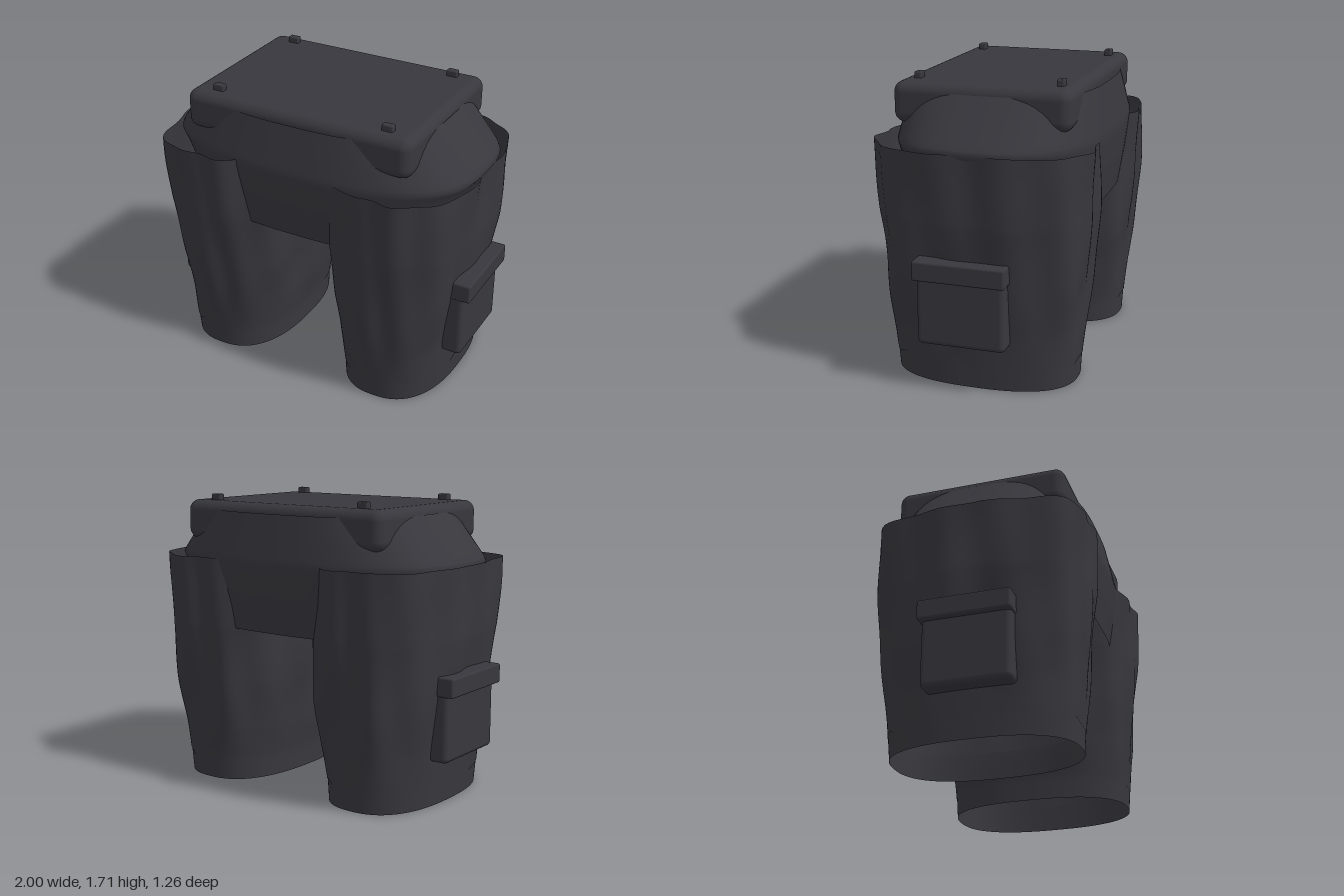
import * as THREE from 'three';
import { RoundedBoxGeometry } from 'three/addons/geometries/RoundedBoxGeometry.js';

// Linear interpolation in a table of rows [y, v1, v2, ...] sorted by y
function sample(rows, y) {
  let i = 0;
  while (i < rows.length - 2 && y > rows[i + 1][0]) i++;
  const a = rows[i], b = rows[i + 1];
  const t = THREE.MathUtils.clamp((y - a[0]) / (b[0] - a[0]), 0, 1);
  return a.map((v, k) => THREE.MathUtils.lerp(v, b[k], t));
}

// Open tube: point(angle, v) gives a position, v runs from 0 (bottom) to 1 (top)
function tube(segments, rings, point) {
  const positions = [], index = [];
  for (let r = 0; r <= rings; r++) {
    for (let i = 0; i < segments; i++) positions.push(...point((i / segments) * Math.PI * 2, r / rings));
  }
  for (let r = 0; r < rings; r++) {
    for (let i = 0; i < segments; i++) {
      const j = (i + 1) % segments;
      const a = r * segments + i, b = r * segments + j, c = a + segments, d = b + segments;
      index.push(a, c, b, b, c, d);
    }
  }
  const geometry = new THREE.BufferGeometry();
  geometry.setAttribute('position', new THREE.Float32BufferAttribute(positions, 3));
  geometry.setIndex(index);
  geometry.computeVertexNormals();
  return geometry;
}

// Unit rounded-square outline
function outline(angle, n) {
  const c = Math.cos(angle), s = Math.sin(angle);
  const k = Math.pow(Math.abs(c) ** n + Math.abs(s) ** n, -1 / n);
  return [c * k, s * k];
}

// y, inner x, outer x, half depth, squareness
const LEG = [
  [0, 0.21, 0.85, 0.53, 2.5],
  [0.14, 0.205, 0.86, 0.54, 2.6],
  [0.32, 0.18, 0.87, 0.555, 2.7],
  [0.6, 0.155, 0.9, 0.58, 2.8],
  [0.95, 0.135, 0.935, 0.605, 2.9],
  [1.35, 0.15, 0.945, 0.615, 3],
];

// y, half width, half depth, squareness
const HIPS = [
  [0.945, 0.8, 0.545, 2.7],
  [1.15, 0.85, 0.575, 2.7],
  [1.3, 0.91, 0.588, 2.8],
  [1.35, 0.945, 0.59, 2.8],
  [1.62, 0.705, 0.54, 3],
];

// Slanted cloth folds, fading towards the hem
function folds(angle, y) {
  const fade = THREE.MathUtils.smoothstep(y, 0.1, 0.6);
  return fade * (0.011 * Math.sin(7 * angle + 3.2 * y + 0.6)
    + 0.008 * Math.sin(12 * angle - 2.4 * y + 1.9)
    + 0.005 * Math.sin(4 * angle + 9 * y));
}

function legPoint(side, angle, y, inset, wrinkled) {
  const [, inner, outer, depth, n] = sample(LEG, y);
  const [ox, oz] = outline(angle, n);
  const f = (wrinkled ? folds(angle, y) : 0) - inset;
  return [side * (inner + outer) / 2 + ox * ((outer - inner) / 2 + f), y, oz * (depth + f)];
}

export function createModel() {
  const model = new THREE.Group();
  const cloth = new THREE.MeshStandardMaterial({ color: 0x37373d, side: THREE.DoubleSide });
  cloth.name = 'charcoal';

  function add(parent, name, geometry, x = 0, y = 0, z = 0) {
    const mesh = new THREE.Mesh(geometry, cloth);
    mesh.name = name;
    mesh.position.set(x, y, z);
    parent.add(mesh);
    return mesh;
  }

  // Hips: open shell tapering up to the waist
  add(model, 'hips', tube(96, 27, (angle, v) => {
    const y = 0.945 + v * 0.675;
    const [, w, d, n] = sample(HIPS, y);
    const [ox, oz] = outline(angle, n);
    return [ox * w, y, oz * d - 0.015];
  }));

  // Waist block with four small pegs
  add(model, 'waistBlock', new RoundedBoxGeometry(1.4, 0.23, 1.01, 5, 0.06), 0, 1.555, -0.005);
  for (const x of [-0.53, 0.53]) {
    for (const z of [-0.415, 0.4]) {
      add(model, 'peg', new RoundedBoxGeometry(0.066, 0.07, 0.042, 2, 0.008), x, 1.67, z);
    }
  }

  for (const side of [-1, 1]) {
    const leg = new THREE.Group();
    leg.name = side > 0 ? 'leftLeg' : 'rightLeg';
    model.add(leg);

    // Trouser leg with folds and a gathered lower edge
    add(leg, 'trouserLeg', tube(112, 48, (angle, v) => {
      const bottom = 0.125 + 0.012 * Math.sin(11 * angle) + 0.006 * Math.sin(17 * angle);
      return legPoint(side, angle, THREE.MathUtils.lerp(bottom, 1.35, v), 0, true);
    }));

    // Hem band
    add(leg, 'hem', tube(112, 4, (angle, v) => legPoint(side, angle, v * 0.16, 0.004 * v, false)));

    // Cargo pocket and flap
    add(leg, 'pocket', new RoundedBoxGeometry(0.13, 0.45, 0.505, 4, 0.03), side * 0.895, 0.495, 0.024);
    add(leg, 'pocketFlap', new RoundedBoxGeometry(0.125, 0.112, 0.525, 3, 0.012), side * 0.9375, 0.706, 0.022);
  }

  return model;
}
